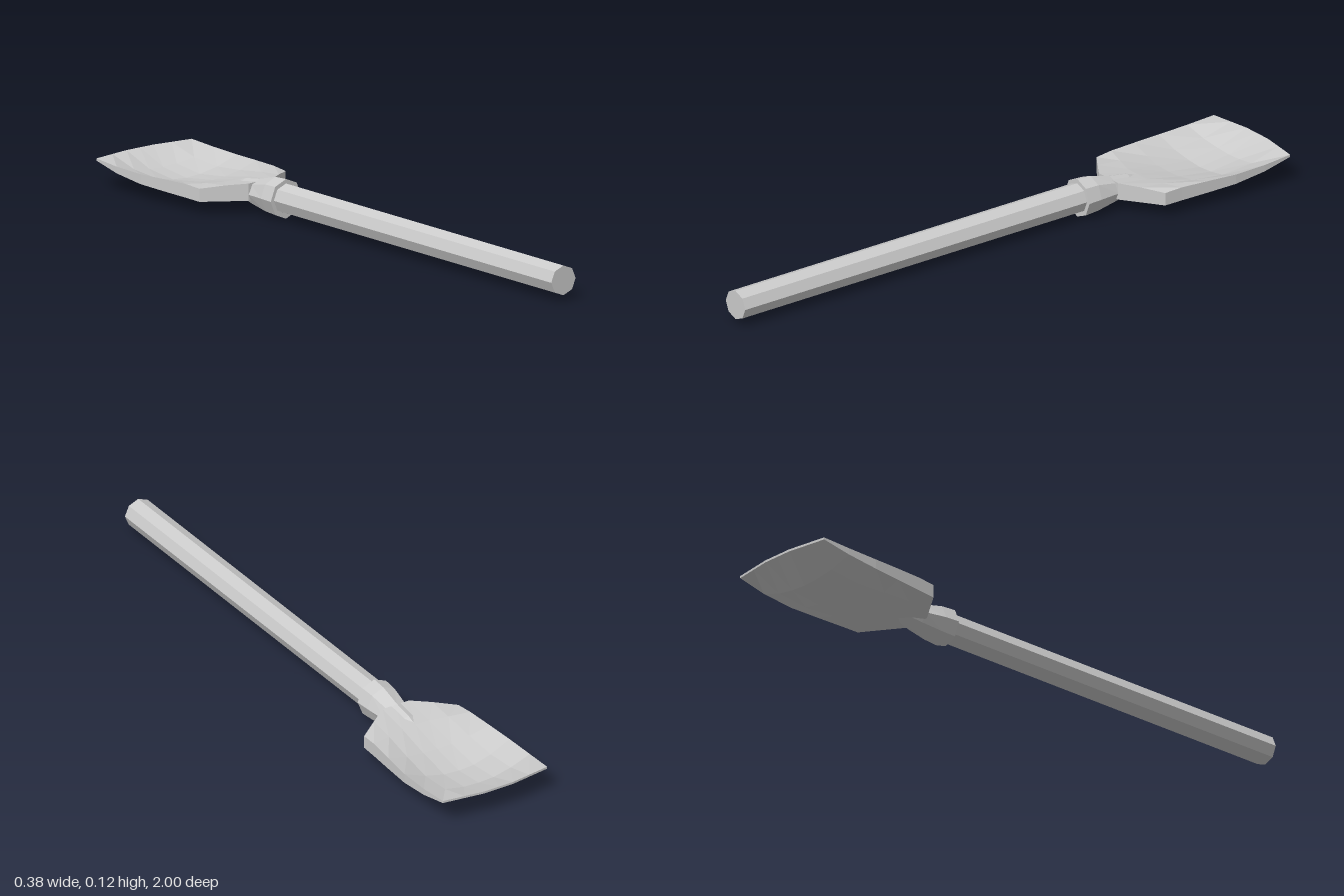
import * as THREE from 'three';

const material = new THREE.MeshStandardMaterial({ color: 0xcccccc, flatShading: true });

// Skin a list of rings (clockwise seen from +z, ordered towards -z) and close both ends.
function loft(name, rings) {
  const n = rings[0].length;
  const index = [];
  const quad = (a, b, c, d) => index.push(a, b, c, a, c, d);
  for (let r = 0; r < rings.length - 1; r++) {
    for (let i = 0; i < n; i++) {
      const j = (i + 1) % n;
      quad(r * n + i, r * n + j, (r + 1) * n + j, (r + 1) * n + i);
    }
  }
  const last = (rings.length - 1) * n;
  for (let i = 0; i < n / 2 - 1; i++) {
    quad(n - 1 - i, n - 2 - i, i + 1, i);
    quad(last + i, last + i + 1, last + n - 2 - i, last + n - 1 - i);
  }
  const geometry = new THREE.BufferGeometry();
  geometry.setAttribute('position', new THREE.Float32BufferAttribute(rings.flat(2), 3));
  geometry.setIndex(index);
  const flat = geometry.toNonIndexed();
  flat.computeVertexNormals();
  const mesh = new THREE.Mesh(flat, material);
  mesh.name = name;
  return mesh;
}

// Eight-sided ring with a corner pointing up.
function octagon(z, rx, bottom, top) {
  const cy = (top + bottom) / 2, ry = (top - bottom) / 2;
  return Array.from({ length: 8 }, (_, i) => {
    const a = (i * Math.PI) / 4;
    return [-Math.cos(a) * rx, cy + Math.sin(a) * ry, z];
  });
}

// Dished blade section: every value runs from the centre to the edge.
const columns = [-1, -0.62, -0.28, 0, 0.28, 0.62, 1];
function bladeRing([zCentre, zEdge, halfWidth, topCentre, topEdge, lowCentre, lowEdge]) {
  const { lerp } = THREE.MathUtils;
  const row = (centre, edge) => columns.map((u) => [
    u * halfWidth,
    lerp(centre, edge, u * u),
    lerp(zCentre, zEdge, Math.max(0, (Math.abs(u) - 0.28) / 0.72)),
  ]);
  return [...row(topCentre, topEdge), ...row(lowCentre, lowEdge).reverse()];
}

export function createModel() {
  const group = new THREE.Group();
  group.name = 'shovel';

  // Long straight handle
  group.add(loft('handle', [
    octagon(1, 0.048, 0.019, 0.112),
    octagon(-0.33, 0.048, 0.019, 0.112),
  ]));

  // Collar around the handle, tapering into the blade
  group.add(loft('socket', [
    octagon(-0.31, 0.06, 0.002, 0.126),
    octagon(-0.36, 0.057, 0.005, 0.123),
    octagon(-0.435, 0.046, 0.019, 0.102),
    octagon(-0.5, 0.032, 0.034, 0.092),
    octagon(-0.56, 0.015, 0.04, 0.07),
  ]));

  // Scooped blade with thick shoulders and a thin curved lip
  group.add(loft('blade', [
    [-0.43, -0.515, 0.17, 0.097, 0.083, 0.042, 0.042],
    [-0.54, -0.575, 0.174, 0.08, 0.087, 0.031, 0.044],
    [-0.66, -0.67, 0.182, 0.055, 0.085, 0.02, 0.047],
    [-0.78, -0.77, 0.19, 0.038, 0.082, 0.008, 0.051],
    [-0.89, -0.88, 0.191, 0.05, 0.084, 0.021, 0.063],
    [-1, -0.98, 0.188, 0.09, 0.09, 0.083, 0.083],
  ].map(bladeRing)));

  return group;
}
